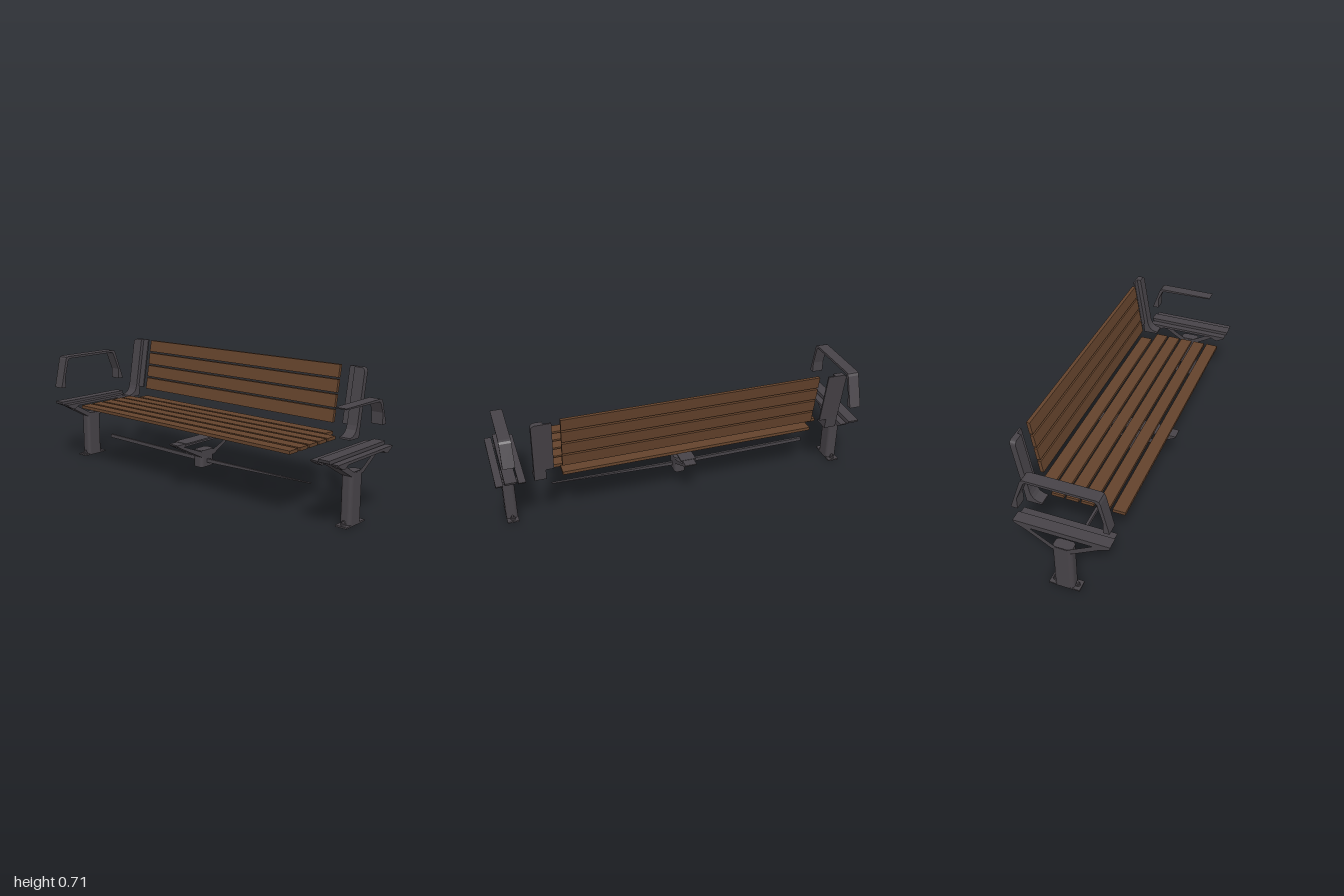
import * as THREE from 'three';

const wood = new THREE.MeshStandardMaterial({ color: 0x64432c });
wood.name = 'brown wood';
const metal = new THREE.MeshStandardMaterial({ color: 0x474348 });
metal.name = 'dark metal';

const toPath = (points, Type = THREE.Shape) => new Type(points.map(([a, b]) => new THREE.Vector2(a, b)));

function mesh(name, geometry, material = metal) {
  const m = new THREE.Mesh(geometry, material);
  m.name = name;
  return m;
}

// box given by its limits
function box(name, [x0, x1], [y0, y1], [z0, z1], material = metal) {
  const g = new THREE.BoxGeometry(x1 - x0, y1 - y0, z1 - z0);
  g.translate((x0 + x1) / 2, (y0 + y1) / 2, (z0 + z1) / 2);
  return mesh(name, g, material);
}

// side profile of [z, y] points, extruded from x0 to x1
function profile(name, points, x0, x1, hole) {
  const shape = toPath(points);
  if (hole) shape.holes.push(toPath(hole, THREE.Path));
  const g = new THREE.ExtrudeGeometry(shape, { depth: x1 - x0, bevelEnabled: false });
  g.rotateY(-Math.PI / 2);
  g.translate(x1, 0, 0);
  return mesh(name, g);
}

// lean a geometry backwards along the slope of the backrest
function lean(geometry) {
  const p = geometry.attributes.position;
  for (let i = 0; i < p.count; i++) p.setZ(i, p.getZ(i) - 0.192 - (p.getY(i) - 0.42) * 0.175);
  geometry.computeVertexNormals();
  return geometry;
}

// upright tube with rounded corners
function post(name, x, z, y0, y1, width, depth) {
  const w = width / 2, d = depth / 2, r = 0.02;
  const s = new THREE.Shape();
  s.moveTo(-w + r, -d).lineTo(w - r, -d).absarc(w - r, -d + r, r, -Math.PI / 2, 0);
  s.lineTo(w, d - r).absarc(w - r, d - r, r, 0, Math.PI / 2);
  s.lineTo(-w + r, d).absarc(-w + r, d - r, r, Math.PI / 2, Math.PI);
  s.lineTo(-w, -d + r).absarc(-w + r, -d + r, r, Math.PI, Math.PI * 1.5);
  const g = new THREE.ExtrudeGeometry(s, { depth: y1 - y0, bevelEnabled: false, curveSegments: 6 });
  g.rotateX(-Math.PI / 2);
  g.translate(x, y0, z);
  return mesh(name, g);
}

const frameOutline = [[0.275, 0.367], [0.27, 0.352], [0.21, 0.325], [0.08, 0.25],
  [-0.02, 0.25], [-0.145, 0.325], [-0.205, 0.352], [-0.212, 0.367]];
const frameHole = [[0.185, 0.341], [0.06, 0.269], [0, 0.269], [-0.125, 0.341]];
const railOutline = [[0.268, 0.354], [0.262, 0.344], [0.225, 0.324], [0.205, 0.326], [0.185, 0.34],
  [-0.125, 0.34], [-0.145, 0.326], [-0.165, 0.324], [-0.2, 0.344], [-0.206, 0.354]];

// leg: post, base plate, bolts, V frame and side rails
function leg(name, x, rails) {
  const g = new THREE.Group();
  g.name = name;
  g.add(post('legPost', x, 0.03, 0.005, 0.265, 0.062, 0.1));
  g.add(box('basePlate', [x - 0.031, x + 0.031], [0, 0.008], [-0.05, 0.11]));
  for (const z of [0.088, -0.028]) {
    const washer = mesh('washer', new THREE.CylinderGeometry(0.013, 0.013, 0.01, 12));
    washer.position.set(x, 0.012, z);
    const bolt = mesh('bolt', new THREE.CylinderGeometry(0.008, 0.008, 0.016, 6));
    bolt.position.set(x, 0.02, z);
    g.add(washer, bolt);
  }
  g.add(profile('legFrame', frameOutline, x - 0.03, x + 0.03, frameHole));
  for (const side of rails) {
    const a = x + side * 0.038, b = x + side * 0.075;
    g.add(profile('sideRail', railOutline, Math.min(a, b), Math.max(a, b)));
    for (const z of [0.205, -0.145]) {
      const c = x + side * 0.025, e = x + side * 0.045;
      g.add(box('railTab', [Math.min(c, e), Math.max(c, e)], [0.328, 0.344], [z - 0.012, z + 0.012]));
    }
  }
  return g;
}

// back support: leaning blade with rounded outer corner, thin flange, curved foot
function backSupport(name, outer, inner, edge) {
  const g = new THREE.Group();
  g.name = name;
  const dir = Math.sign(inner - outer), r = 0.025, y0 = 0.4, y1 = 0.705;
  const s = new THREE.Shape();
  s.moveTo(outer, y0).lineTo(inner, y0).lineTo(inner, y1).lineTo(outer + dir * r, y1);
  s.quadraticCurveTo(outer, y1, outer, y1 - r);
  s.closePath();
  const blade = new THREE.ExtrudeGeometry(s, { depth: 0.03, bevelEnabled: false });
  blade.translate(0, 0, -0.03);
  g.add(mesh('supportBlade', lean(blade)));
  const flange = new THREE.BoxGeometry(Math.abs(edge - inner), 0.29, 0.009);
  flange.translate((edge + inner) / 2, 0.56, -0.0255);
  g.add(mesh('supportFlange', lean(flange)));
  g.add(profile('supportFoot', [[-0.13, 0.367], [-0.155, 0.372], [-0.172, 0.382], [-0.184, 0.398],
    [-0.192, 0.42], [-0.222, 0.42], [-0.212, 0.355], [-0.13, 0.357]],
  Math.min(outer, inner), Math.max(outer, inner)));
  return g;
}

export function createModel() {
  const model = new THREE.Group();
  model.name = 'bench';

  // seat slats, the rear one shorter
  [-0.168, -0.089, -0.012, 0.066, 0.145, 0.226].forEach((z, i) => {
    const span = i === 0 ? [-0.705, 0.66] : [-0.775, 0.725];
    model.add(box('seatSlat', span, [0.352, 0.369], [z - 0.0325, z + 0.0325], wood));
  });

  // backrest slats
  for (let i = 0; i < 4; i++) {
    const slat = new THREE.BoxGeometry(1.365, 0.065, 0.018);
    slat.translate(-0.0225, 0.447 + i * 0.0753, -0.01);
    model.add(mesh('backSlat', lean(slat), wood));
  }

  model.add(backSupport('rightBackSupport', -0.855, -0.79, -0.75));
  model.add(backSupport('leftBackSupport', 0.805, 0.745, 0.705));

  model.add(leg('rightLeg', -0.97, [1]));
  model.add(leg('leftLeg', 0.922, [-1, 1]));

  // full armrest and open-ended armrest
  model.add(profile('rightArmrest', [[0.273, 0.452], [0.234, 0.618], [0.227, 0.63], [0.214, 0.635],
    [-0.133, 0.635], [-0.146, 0.631], [-0.154, 0.618], [-0.211, 0.452], [-0.176, 0.452], [-0.176, 0.512],
    [-0.136, 0.612], [-0.127, 0.622], [0.207, 0.622], [0.217, 0.612], [0.243, 0.512], [0.243, 0.452]],
  -1, -0.937));
  model.add(profile('leftArmrest', [[0.15, 0.584], [0.148, 0.578], [-0.143, 0.571], [-0.152, 0.565],
    [-0.176, 0.512], [-0.176, 0.452], [-0.211, 0.452], [-0.17, 0.571], [-0.162, 0.58], [-0.15, 0.584]],
  0.891, 0.953));

  // middle support
  const middle = new THREE.Group();
  middle.name = 'middleSupport';
  middle.add(post('middlePost', -0.0225, 0.03, 0.106, 0.2, 0.063, 0.1));
  middle.add(profile('middleFrame', [[0.263, 0.266], [0.262, 0.259], [0.245, 0.248], [0.08, 0.165],
    [-0.02, 0.165], [-0.18, 0.248], [-0.198, 0.259], [-0.199, 0.266]], -0.054, 0.009,
  [[0.213, 0.249], [0.08, 0.196], [-0.02, 0.196], [-0.153, 0.249]]));
  middle.add(box('middleTopPlate', [-0.066, 0.017], [0.26, 0.268], [-0.15, 0.21]));
  model.add(middle);

  // thin tapering stretcher bar
  const bar = toPath([[-0.78, 0.134], [-0.02, 0.127], [0.69, 0.151], [0.69, 0.154], [-0.02, 0.148], [-0.78, 0.154]]);
  const barGeometry = new THREE.ExtrudeGeometry(bar, { depth: 0.014, bevelEnabled: false });
  barGeometry.translate(0, 0, 0.023);
  model.add(mesh('stretcherBar', barGeometry));

  return model;
}
